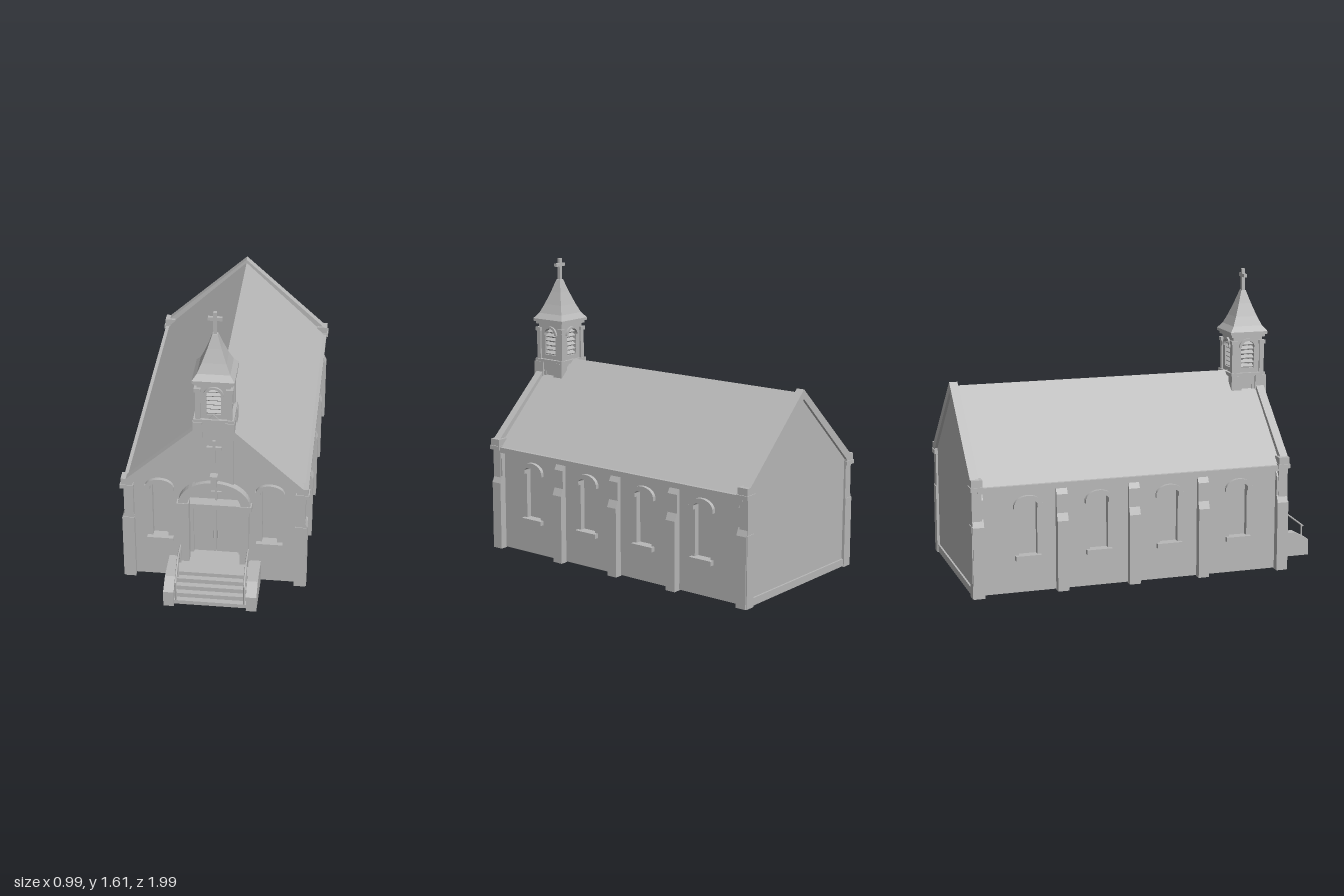
import * as THREE from 'three';

const stone = new THREE.MeshStandardMaterial({ color: 0xb8b8b8 });
stone.name = 'grey stone';

function add(parent, name, geo) {
  const m = new THREE.Mesh(geo, stone);
  m.name = name;
  parent.add(m);
  return m;
}
// box given by its min and max corners
function box(parent, name, x0, x1, y0, y1, z0, z1) {
  const m = add(parent, name, new THREE.BoxGeometry(x1 - x0, y1 - y0, z1 - z0));
  m.position.set((x0 + x1) / 2, (y0 + y1) / 2, (z0 + z1) / 2);
  return m;
}
function poly(pts) {
  return new THREE.Shape(pts.map(p => new THREE.Vector2(p[0], p[1])));
}
function extrude(parent, name, shape, z0, z1) {
  const geo = new THREE.ExtrudeGeometry(shape, { depth: z1 - z0, bevelEnabled: false, curveSegments: 12 });
  geo.translate(0, 0, z0);
  return add(parent, name, geo);
}
// opening with an elliptical head
function opening(x, w, y0, spring, rise) {
  const p = new THREE.Path();
  p.moveTo(x - w / 2, y0);
  p.lineTo(x + w / 2, y0);
  p.lineTo(x + w / 2, spring);
  p.absellipse(x, spring, w / 2, rise, 0, Math.PI, false);
  p.closePath();
  return p;
}
// curved band over an opening
function archBand(x, y, rOut, riseOut, rIn, riseIn) {
  const s = new THREE.Shape();
  s.moveTo(x + rOut, y);
  s.absellipse(x, y, rOut, riseOut, 0, Math.PI, false);
  s.lineTo(x - rIn, y);
  s.absellipse(x, y, rIn, riseIn, Math.PI, 0, true);
  s.closePath();
  return s;
}
function windowTrim(parent, x, z, sillY, spring, rise) {
  extrude(parent, 'windowHood', archBand(x, spring - 0.005, 0.075, rise + 0.025, 0.05, rise), z - 0.01, z + 0.02);
  for (const s of [-1, 1]) {
    box(parent, 'hoodStop', x + s * 0.063 - 0.014, x + s * 0.063 + 0.014, spring - 0.022, spring + 0.002, z - 0.01, z + 0.02);
  }
  box(parent, 'windowSill', x - 0.07, x + 0.07, sillY - 0.025, sillY, z - 0.02, z + 0.025);
}
// stepped buttress: wide foot, sloped shoulder, slimmer shaft
function buttress(parent, x, z, w, top) {
  const side = poly([[0, 0], [0.045, 0], [0.045, 0.38], [0.028, 0.42], [0.028, top - 0.05], [0, top]]);
  const geo = new THREE.ExtrudeGeometry(side, { depth: w, bevelEnabled: false });
  geo.translate(0, 0, -w / 2);
  geo.rotateY(-Math.PI / 2);
  add(parent, 'buttress', geo).position.set(x, 0.005, z);
}
function cross(parent, name, y0, y1, barY, halfBar, t, z) {
  box(parent, name, -t / 2, t / 2, y0, y1, z - t / 2, z + t / 2);
  box(parent, name + 'Arm', -halfBar, halfBar, barY - t / 2, barY + t / 2, z - t / 2, z + t / 2);
}
function rod(parent, name, a, b, r = 0.005) {
  const curve = new THREE.LineCurve3(new THREE.Vector3(...a), new THREE.Vector3(...b));
  add(parent, name, new THREE.TubeGeometry(curve, 1, r, 8));
}

function buildNave(g) {
  // core under the roof
  extrude(g, 'naveCore', poly([[-0.42, 0.01], [0.42, 0.01], [0.42, 0.59], [0, 1.0], [-0.42, 0.59]]), -0.94, 0.66);
  extrude(g, 'rearWall', poly([[-0.45, 0.01], [0.45, 0.01], [0.45, 0.6], [0, 1.03], [-0.45, 0.6]]), -0.97, -0.93);
  box(g, 'rearPlinth', -0.45, 0.45, 0.01, 0.05, -0.98, -0.965);
  extrude(g, 'roof', poly([[0.48, 0.58], [0, 1.04], [-0.48, 0.58], [-0.48, 0.56], [-0.45, 0.56], [0, 0.99], [0.45, 0.56], [0.48, 0.56]]), -0.95, 0.74);

  // front gable wall with two windows and the porch opening
  const front = poly([[-0.45, 0.01], [0.45, 0.01], [0.45, 0.6], [0, 1.03], [-0.45, 0.6]]);
  front.holes.push(opening(0, 0.28, 0.13, 0.5, 0.11));
  for (const s of [-1, 1]) front.holes.push(opening(s * 0.29, 0.08, 0.265, 0.59, 0.025));
  extrude(g, 'frontGable', front, 0.66, 0.74);
  for (const s of [-1, 1]) {
    box(g, 'frontWindowPane', s * 0.29 - 0.045, s * 0.29 + 0.045, 0.26, 0.62, 0.66, 0.705);
    windowTrim(g, s * 0.29, 0.74, 0.265, 0.59, 0.025);
  }

  // gable copings
  const coping = poly([[0.485, 0.615], [0, 1.06], [-0.485, 0.615], [-0.485, 0.58], [-0.46, 0.58], [0, 1.01], [0.46, 0.58], [0.485, 0.58]]);
  extrude(g, 'frontCoping', coping, 0.725, 0.77);
  extrude(g, 'rearCoping', coping, -0.985, -0.94);

  // side walls, built facing +z and turned outward
  for (const s of [-1, 1]) {
    const side = new THREE.Group();
    side.name = s > 0 ? 'leftSide' : 'rightSide';
    side.rotation.y = s * Math.PI / 2;
    g.add(side);
    const a = -s * 0.72, b = s * 0.95;
    const lo = Math.min(a, b), hi = Math.max(a, b);
    const wall = poly([[lo, 0.01], [hi, 0.01], [hi, 0.58], [lo, 0.58]]);
    const centres = [0.49, 0.095, -0.295, -0.68].map(z => -s * z);
    for (const x of centres) wall.holes.push(opening(x, 0.1, 0.21, 0.48, 0.03));
    extrude(side, 'sideWall', wall, 0.415, 0.45);
    for (const x of centres) windowTrim(side, x, 0.45, 0.21, 0.485, 0.025);
    for (const z of [0.735, 0.283, -0.105, -0.5, -0.95]) buttress(side, -s * z, 0, 0.06, 0.57);
    for (const m of side.children) if (m.name === 'buttress') { m.rotation.y = Math.PI; m.position.z = 0; }
    side.children.filter(m => m.name === 'buttress').forEach(m => {
      m.geometry.rotateY(-Math.PI / 2 - Math.PI / 2);
      m.rotation.y = 0;
      // turn the profile so its step faces outward
      m.geometry.rotateY(0);
    });
    side.children.filter(m => m.name === 'buttress').forEach(m => orientOutward(m));
    box(side, 'gutter', lo, hi, 0.565, 0.592, 0.455, 0.487);
    // corner piers and caps
    for (const [z0, z1] of [[0.71, 0.77], [-0.985, -0.925]]) {
      box(g, 'cornerPier', s * 0.455 - 0.03, s * 0.455 + 0.03, 0.005, 0.39, z0, z1);
      box(g, 'cornerPierShaft', s * 0.452 - 0.025, s * 0.452 + 0.025, 0.39, 0.59, z0 + 0.004, z1 - 0.004);
      box(g, 'cornerCapMould', s * 0.46 - 0.036, s * 0.46 + 0.036, 0.575, 0.598, z0 - 0.004, z1 + 0.004);
      box(g, 'cornerCap', s * 0.46 - 0.03, s * 0.46 + 0.03, 0.595, 0.635, z0, z1);
    }
  }
}
// rebuild a buttress with its stepped profile facing local +z against the wall
function orientOutward(m) {
  const side = poly([[0, 0], [0.045, 0], [0.045, 0.38], [0.028, 0.42], [0.028, 0.52], [0, 0.57]]);
  const geo = new THREE.ExtrudeGeometry(side, { depth: 0.06, bevelEnabled: false });
  geo.translate(0, 0, -0.03);
  geo.rotateY(-Math.PI / 2);
  m.geometry = geo;
  m.position.z = 0.445;
}

function buildPorch(g) {
  extrude(g, 'porchArch', archBand(0, 0.5, 0.19, 0.148, 0.14, 0.108), 0.72, 0.78);
  box(g, 'keystone', -0.016, 0.016, 0.63, 0.69, 0.74, 0.79);
  box(g, 'keystoneCap', -0.02, 0.02, 0.68, 0.695, 0.74, 0.793);
  box(g, 'lintel', -0.14, 0.14, 0.435, 0.465, 0.66, 0.72);
  cross(g, 'porchCross', 0.47, 0.54, 0.52, 0.028, 0.01, 0.675);
  for (const s of [-1, 1]) {
    box(g, 'porchPier', s * 0.158 - 0.024, s * 0.158 + 0.024, 0.1, 0.48, 0.72, 0.776);
    box(g, 'porchPierCap', s * 0.165 - 0.032, s * 0.165 + 0.032, 0.475, 0.51, 0.72, 0.785);
    box(g, 'doorJamb', s * 0.13 - 0.01, s * 0.13 + 0.01, 0.13, 0.44, 0.66, 0.69);
    box(g, 'doorLeaf', s * 0.061 - 0.059, s * 0.061 + 0.059, 0.13, 0.435, 0.66, 0.672);
    rod(g, 'doorHandle', [s * 0.011, 0.225, 0.682], [s * 0.011, 0.275, 0.682], 0.004);
  }
}

function buildSteps(g) {
  box(g, 'landing', -0.2, 0.2, 0.01, 0.13, 0.7, 0.87);
  for (let i = 0; i < 4; i++) {
    box(g, 'step', -0.2, 0.2, 0.01, 0.108 - i * 0.025, 0.86, 0.9 + i * 0.03);
  }
  for (const s of [-1, 1]) {
    // cheek wall with a sloped nose
    const geo = new THREE.ExtrudeGeometry(poly([[0.74, 0], [1, 0], [1, 0.09], [0.92, 0.135], [0.74, 0.135]]), { depth: 0.055, bevelEnabled: false });
    geo.rotateY(-Math.PI / 2);
    add(g, 'stepCheek', geo).position.x = s * 0.218 + 0.0275;
    const x = s * 0.18;
    rod(g, 'handrail', [x, 0.235, 0.78], [x, 0.235, 0.885]);
    rod(g, 'handrail', [x, 0.235, 0.885], [x, 0.15, 0.995]);
    rod(g, 'railPost', [x, 0.13, 0.79], [x, 0.235, 0.79]);
    rod(g, 'railPost', [x, 0.1, 0.885], [x, 0.235, 0.885]);
    rod(g, 'railPost', [x, 0.03, 0.985], [x, 0.157, 0.985]);
  }
}

function buildTower(g) {
  // front strip with corbels and a relief cross
  box(g, 'towerStrip', -0.1, 0.1, 0.62, 0.97, 0.7, 0.755);
  cross(g, 'reliefCross', 0.76, 0.9, 0.855, 0.038, 0.016, 0.762);
  box(g, 'towerBase', -0.097, 0.097, 0.93, 1.02, 0.59, 0.765);
  for (const s of [-1, 1]) {
    box(g, 'corbel', s * 0.083 - 0.024, s * 0.083 + 0.024, 0.92, 1.02, 0.72, 0.785);
    box(g, 'rearCorbel', s * 0.083 - 0.024, s * 0.083 + 0.024, 0.94, 1.02, 0.58, 0.64);
  }
  const t = new THREE.Group();
  t.name = 'belfry';
  t.position.z = 0.68;
  g.add(t);
  box(t, 'belfryFloor', -0.104, 0.104, 1.015, 1.035, -0.1, 0.1);
  for (let i = 0; i < 4; i++) {
    const f = new THREE.Group();
    f.name = 'belfryFace';
    f.rotation.y = i * Math.PI / 2;
    t.add(f);
    const panel = poly([[-0.085, 1.03], [0.085, 1.03], [0.085, 1.25], [-0.085, 1.25]]);
    panel.holes.push(opening(0, 0.076, 1.06, 1.175, 0.038));
    extrude(f, 'belfryPanel', panel, 0.06, 0.085);
    extrude(f, 'belfryHood', archBand(0, 1.175, 0.052, 0.05, 0.038, 0.038), 0.08, 0.096);
    for (let k = 0; k < 6; k++) {
      const slat = box(f, 'louvre', -0.04, 0.04, 1.068 + k * 0.025, 1.074 + k * 0.025, 0.055, 0.082);
      slat.rotation.x = 0.5;
    }
    const post = box(f, 'cornerPost', 0.068, 0.094, 1.03, 1.2, 0.068, 0.094);
    post.name = 'belfryPost';
    box(f, 'postCap', 0.064, 0.1, 1.195, 1.215, 0.064, 0.1);
  }
  box(t, 'belfryCornice', -0.098, 0.098, 1.235, 1.255, -0.098, 0.098);

  // flared four-sided spire
  const profile = [[0, 1.25], [0.108, 1.25], [0.108, 1.265], [0.084, 1.295], [0.062, 1.345], [0.036, 1.415], [0.013, 1.485], [0, 1.488]];
  const lathe = new THREE.LatheGeometry(profile.map(p => new THREE.Vector2(p[0] * Math.SQRT2, p[1])), 4);
  lathe.rotateY(Math.PI / 4);
  const spire = lathe.toNonIndexed();
  spire.computeVertexNormals();
  add(t, 'spire', spire);
  cross(t, 'spireCross', 1.48, 1.605, 1.568, 0.036, 0.018, 0);
}

export function createModel() {
  const g = new THREE.Group();
  g.name = 'chapel';
  buildNave(g);
  buildPorch(g);
  buildSteps(g);
  buildTower(g);
  return g;
}
